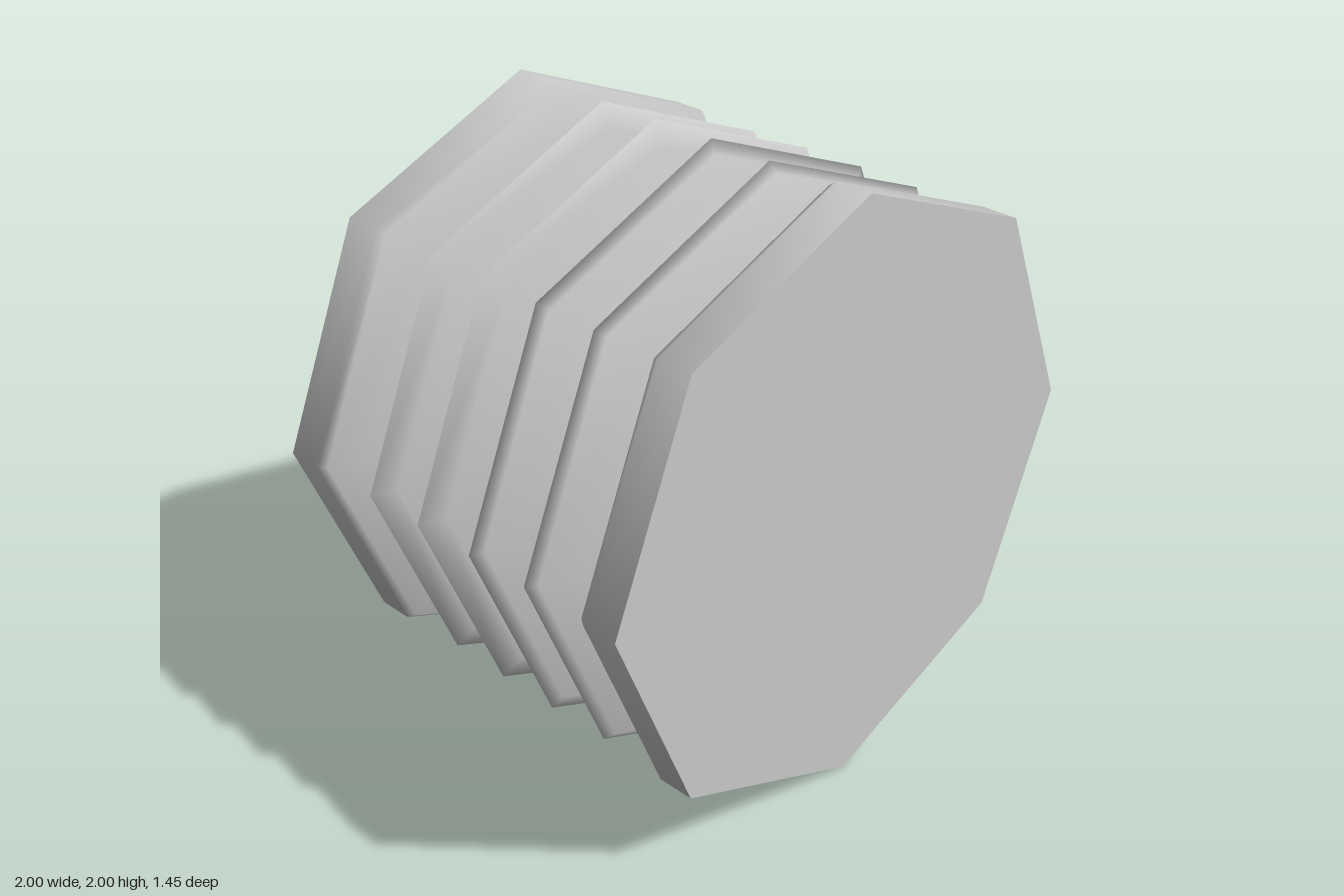
import * as THREE from 'three';

export function createModel() {
  const group = new THREE.Group();
  const material = new THREE.MeshStandardMaterial({ color: 0xcccccc });
  const sides = 8, half = 0.725;

  // Half of the pleated outline as [radius, distance from the middle]
  const outline = [
    [0.615, 0.016], [0.69, 0.036], [0.91, 0.087], [0.995, 0.116], [0.95, 0.132], [0.86, 0.156],
    [0.64, 0.21], [0.605, 0.239], [0.68, 0.264], [0.91, 0.317], [0.99, 0.347], [0.96, 0.374],
    [0.81, 0.408], [0.65, 0.442], [0.602, 0.473], [0.67, 0.5], [0.84, 0.535], [0.98, 0.572],
    [1, 0.6], [1, half],
  ];
  const profile = [
    ...outline.map(([r, d]) => new THREE.Vector2(r, -d)).reverse(),
    ...outline.map(([r, d]) => new THREE.Vector2(r, d)),
  ];

  // Bellows body with a solid rim at each end, turned along z
  const body = new THREE.Mesh(new THREE.LatheGeometry(profile, sides), material);
  body.name = 'bellows';
  body.rotation.x = Math.PI / 2;
  body.position.y = 1;
  group.add(body);

  // Flat end plates
  for (const s of [1, -1]) {
    const plate = new THREE.Mesh(new THREE.CircleGeometry(1, sides), material);
    plate.name = s > 0 ? 'frontPlate' : 'backPlate';
    plate.position.set(0, 1, s * half);
    if (s < 0) plate.rotation.y = Math.PI;
    group.add(plate);
  }
  return group;
}
